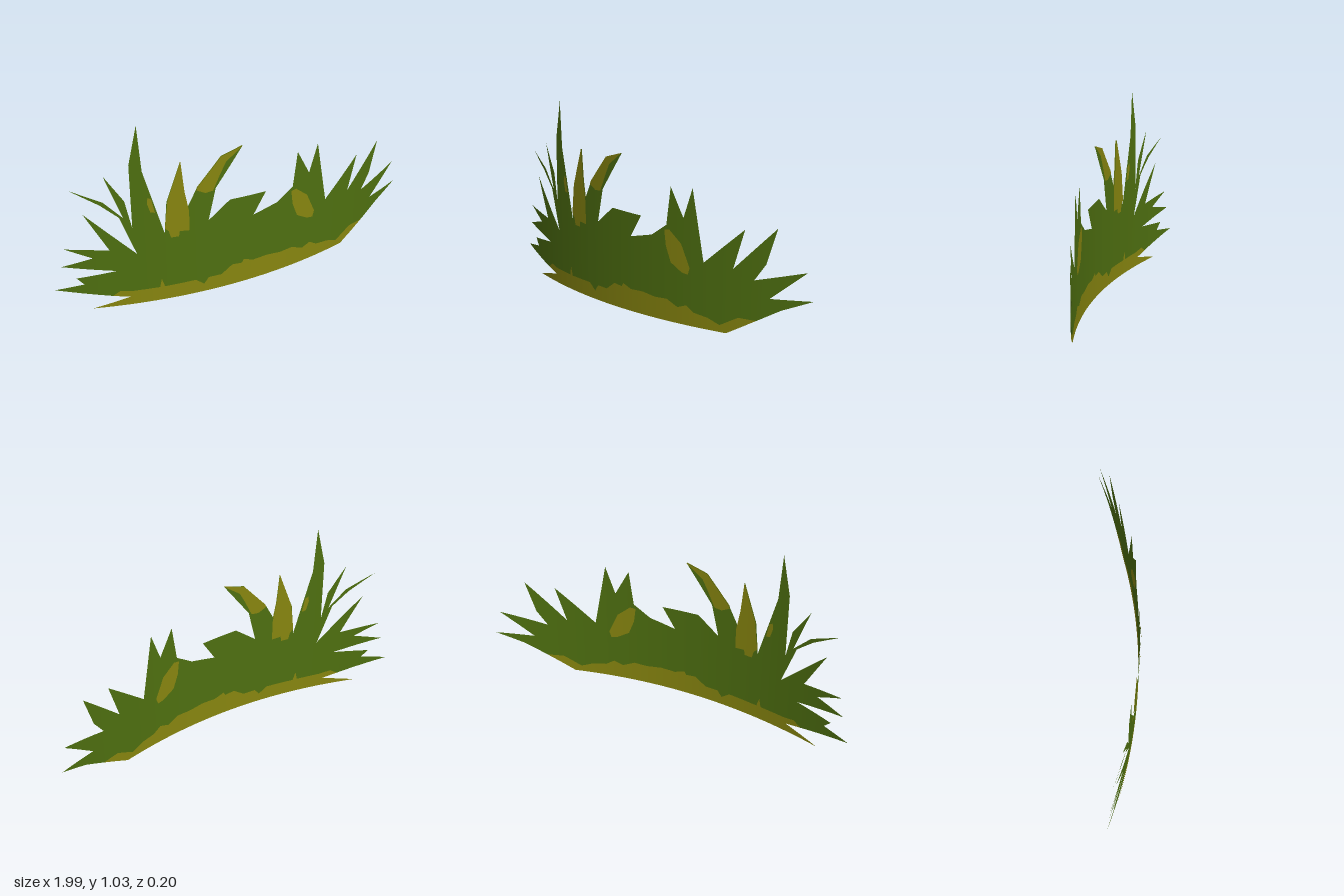
import * as THREE from 'three';

// All outlines are x, y pairs in hundredths of a unit.
const bladeOutline = [
  [73, 11], [84.5, 18], [99, 24.5], [79, 23], [96, 38], [71.5, 31], [77, 39.5], [82, 57.5],
  [61, 35], [66.5, 55], [45.5, 35.5], [39, 71.5], [34, 56], [26.5, 70.5], [24, 51], [15, 44.5],
  [1, 41], [8, 53], [-12, 53.5], [-23.5, 44], [-19.5, 62], [-5, 83], [-16.5, 79.5], [-29, 64.5],
  [-34, 54.5], [-35.5, 63.5], [-37, 80.5], [-44.5, 59], [-46, 41], [-55.5, 78], [-57, 103],
  [-61.5, 82], [-61.5, 46.5], [-64.5, 62.5], [-73.5, 77.5], [-67, 57.5], [-65.5, 53],
  [-74.5, 63], [-89.5, 71], [-76, 61.5], [-67.5, 53.5], [-60, 31], [-84, 57], [-73, 35],
  [-94, 37.5], [-81, 31], [-96, 27], [-70, 22], [-89.5, 19.5], [-86, 15.5], [-100, 13],
];
// Wavy line between the pale base and the green blades, left to right.
const baseLine = [
  [-73, 6.8], [-69, 9.5], [-63, 8.5], [-49.5, 8.5], [-48.5, 13.5], [-47, 8.5], [-31, 9], [-26.5, 5.5],
  [-24, 9], [-17, 9], [-11, 13.5], [-5.5, 13], [-4.5, 15], [1, 13], [9, 13.5], [17, 12.5],
  [24.5, 13], [31, 10], [36, 12], [40.5, 9], [48, 8], [54.5, 5.5], [60.5, 9], [64, 11], [73, 11],
];
const baseBottom = [[58, 2], [-83, 0], [-64.5, 5]];

// Pale patches lying on the blades.
const patches = {
  paleBlade: [[-44, 60], [-37, 80.5], [-35.5, 63.5], [-33.5, 52], [-33.5, 40.5], [-38.5, 41],
    [-39, 38], [-43, 38], [-44, 42], [-45.8, 44]],
  paleLeafTip: [[-29, 64.5], [-16.5, 79.5], [-5, 83], [-14, 76], [-17, 70], [-21, 61], [-25, 60.5], [-29.5, 63]],
  paleSpot: [[23, 48.5], [26, 49], [33, 43], [38, 31.5], [37, 28], [33.5, 28.5], [27, 32.5], [24, 40.5]],
  paleEdge: [[-53.5, 63], [-51.8, 62], [-50.3, 54], [-52.5, 54.5], [-54, 60]],
};

const BEND = 0.2;   // depth of the curve
const STEP = 0.08;  // widest triangle along x

// Fills an outline, splits it finely along x and bends it into an arc.
function bentSheet(points, offset = 0) {
  const shape = new THREE.Shape(points.map(([x, y]) => new THREE.Vector2(x / 100, y / 100)));
  const flat = new THREE.ShapeGeometry(shape).toNonIndexed().attributes.position;
  const positions = [], normals = [];

  const addPoint = (p) => {
    const n = new THREE.Vector3(2 * BEND * p.x, 0, 1).normalize();
    positions.push(p.x + n.x * offset, p.y, 0.1 - BEND * p.x * p.x + n.z * offset);
    normals.push(n.x, n.y, n.z);
  };
  // Halves the edge that is widest along x until every edge is short enough.
  const split = (a, b, c) => {
    const ab = Math.abs(a.x - b.x), bc = Math.abs(b.x - c.x), ca = Math.abs(c.x - a.x);
    const widest = Math.max(ab, bc, ca);
    if (widest <= STEP) {
      [a, b, c].forEach(addPoint);
    } else if (ab === widest) {
      const m = a.clone().lerp(b, 0.5);
      split(a, m, c);
      split(m, b, c);
    } else {
      split(b, c, a);
    }
  };
  for (let i = 0; i < flat.count; i += 3) {
    split(...[0, 1, 2].map((k) => new THREE.Vector3().fromBufferAttribute(flat, i + k)));
  }

  const geometry = new THREE.BufferGeometry();
  geometry.setAttribute('position', new THREE.Float32BufferAttribute(positions, 3));
  geometry.setAttribute('normal', new THREE.Float32BufferAttribute(normals, 3));
  return geometry;
}

export function createModel() {
  const green = new THREE.MeshStandardMaterial({ color: 0x4e6f10, side: THREE.DoubleSide });
  green.name = 'grassGreen';
  const pale = new THREE.MeshStandardMaterial({ color: 0x87850f, side: THREE.DoubleSide });
  pale.name = 'dryYellow';

  const model = new THREE.Group();
  model.name = 'grassClump';
  const add = (name, geometry, material) => {
    const mesh = new THREE.Mesh(geometry, material);
    mesh.name = name;
    model.add(mesh);
  };

  // Green blades and the pale strip at their foot
  add('grassBlades', bentSheet([...bladeOutline, ...baseLine.slice(0, -1)]), green);
  add('paleBase', bentSheet([...baseLine, ...baseBottom]), pale);

  // Patches on both faces of the sheet
  for (const [name, outline] of Object.entries(patches)) {
    add(name + 'Front', bentSheet(outline, 0.003), pale);
    add(name + 'Back', bentSheet(outline, -0.003), pale);
  }
  return model;
}
